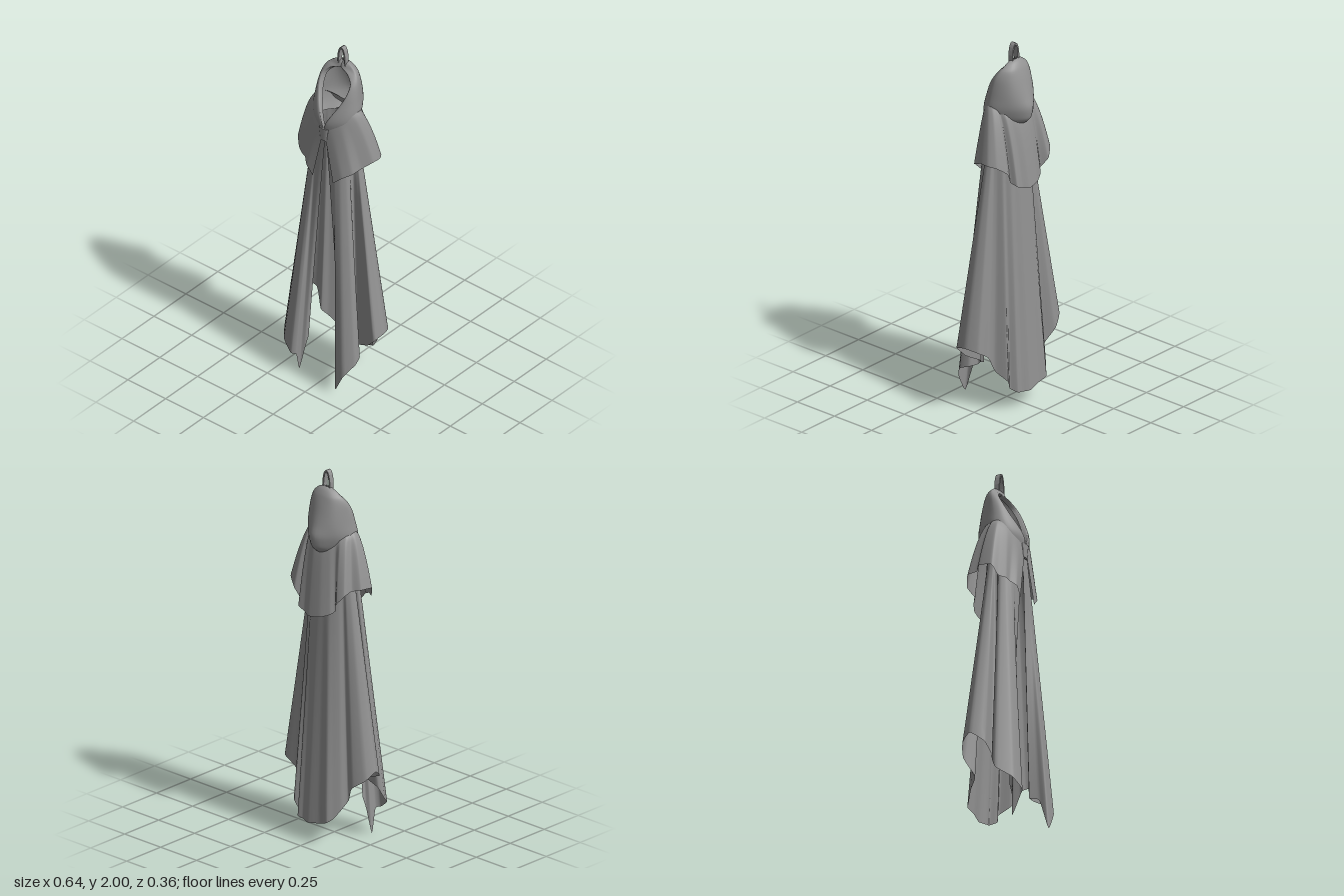
import * as THREE from 'three';

const cloth = new THREE.MeshStandardMaterial({ color: 0x929292, side: THREE.DoubleSide });
cloth.name = 'grey cloth';

const mix = THREE.MathUtils.lerp;
const vectors = (pts) => pts.map((p) => new THREE.Vector3(...p));

function mesh(name, geometry) {
  const m = new THREE.Mesh(geometry, cloth);
  m.name = name;
  return m;
}

// Smooth sheet from rows of points, top row first, each running front -> right -> back -> left -> front
function sheet(rows) {
  const n = rows[0].length;
  const index = [];
  for (let j = 0; j < rows.length - 1; j++) {
    for (let i = 0; i < n - 1; i++) {
      const a = j * n + i, c = a + n;
      index.push(a, a + 1, c, a + 1, c + 1, c);
    }
  }
  const g = new THREE.BufferGeometry();
  g.setAttribute('position', new THREE.Float32BufferAttribute(rows.flat().flatMap((p) => [p.x, p.y, p.z]), 3));
  g.setIndex(index);
  g.computeVertexNormals();
  return g;
}

// Cloth hanging from an oval collar down to a folded, fairly angular hem
function drape(hem, collar, spread, rowCount, columns) {
  const line = new THREE.CatmullRomCurve3(vectors(hem), false, 'catmullrom', 0.25);
  const rows = [];
  for (let j = 0; j <= rowCount; j++) {
    const s = j / rowCount, row = [];
    for (let i = 0; i <= columns; i++) {
      const u = i / columns;
      const phi = 2 * Math.PI * (u + 0.03 * Math.sin(4 * Math.PI * u));
      const front = Math.max(0, Math.cos(phi)) ** 2;
      const top = collar(phi, front), end = line.getPoint(u);
      const w = s ** mix(spread, 0.95, front);
      row.push(new THREE.Vector3(mix(top.x, end.x, w), mix(top.y, end.y, s), mix(top.z, end.z, w)));
    }
    rows.push(row);
  }
  return sheet(rows);
}

// Hem points are x, y, z
const cloakHem = [
  [-0.12, 0.2, 0.08], [-0.128, 0.13, 0.1], [-0.152, 0.0, 0.115], [-0.136, 0.12, 0.158], [-0.157, 0.13, 0.177],
  [-0.22, 0.18, 0.155], [-0.27, 0.23, 0.085], [-0.25, 0.3, 0.052],
  [-0.18, 0.33, 0.045], [-0.2, 0.35, 0.02], [-0.285, 0.38, 0.03], [-0.32, 0.43, -0.035],
  [-0.3, 0.39, -0.09], [-0.235, 0.34, -0.122], [-0.18, 0.25, -0.085], [-0.16, 0.2, -0.12], [-0.13, 0.15, -0.15],
  [-0.105, 0.13, -0.173], [-0.05, 0.11, -0.165], [0.02, 0.1, -0.178], [0.07, 0.1, -0.157], [0.1, 0.11, -0.165],
  [0.125, 0.13, -0.13], [0.15, 0.18, -0.14], [0.18, 0.23, -0.08], [0.21, 0.31, -0.06], [0.285, 0.36, -0.063],
  [0.318, 0.38, 0.0], [0.305, 0.36, 0.07], [0.25, 0.3, 0.055], [0.165, 0.25, 0.03], [0.16, 0.22, 0.055],
  [0.21, 0.22, 0.07], [0.223, 0.2, 0.12], [0.18, 0.13, 0.167], [0.128, 0.03, 0.166], [0.115, 0.19, 0.12],
  [0.09, 0.2, 0.075],
];
const capeHem = [
  [-0.065, 1.25, 0.113], [-0.105, 1.3, 0.115], [-0.135, 1.32, 0.09], [-0.16, 1.33, 0.085], [-0.2, 1.335, 0.06],
  [-0.227, 1.39, 0.035], [-0.225, 1.4, -0.04], [-0.185, 1.39, -0.07], [-0.188, 1.38, -0.125], [-0.15, 1.33, -0.148],
  [-0.12, 1.28, -0.12], [-0.1, 1.26, -0.14], [-0.05, 1.24, -0.163], [0.02, 1.23, -0.172], [0.06, 1.24, -0.157],
  [0.1, 1.26, -0.16], [0.115, 1.28, -0.125], [0.15, 1.34, -0.138], [0.2, 1.38, -0.11], [0.225, 1.39, -0.07],
  [0.222, 1.39, -0.02], [0.185, 1.36, 0.03], [0.165, 1.34, 0.075], [0.12, 1.31, 0.105], [0.07, 1.265, 0.115],
];

// Hood levels: y, rim x, rim z, half width, z of widest point, z of back flank, z of back
const hoodLevels = [
  [1.914, 0, -0.05, 0.012, -0.055, -0.06, -0.064],
  [1.902, 0, -0.038, 0.05, -0.05, -0.072, -0.08],
  [1.882, 0, -0.03, 0.078, -0.045, -0.082, -0.094],
  [1.865, 0.05, -0.018, 0.096, -0.04, -0.087, -0.102],
  [1.83, 0.09, 0.002, 0.113, -0.03, -0.092, -0.115],
  [1.78, 0.092, 0.03, 0.122, -0.02, -0.1, -0.13],
  [1.72, 0.072, 0.06, 0.129, -0.01, -0.105, -0.148],
  [1.67, 0.046, 0.086, 0.135, -0.005, -0.1, -0.163],
  [1.63, 0.025, 0.102, 0.133, 0, -0.088, -0.159],
  [1.6, 0.012, 0.108, 0.125, 0, -0.078, -0.149],
  [1.565, 0.004, 0.106, 0.11, 0, -0.065, -0.11],
];

function hoodGeometry() {
  const rows = hoodLevels.map(([y, rx, rz, hw, sz, fz, bz]) => {
    // Half outline with the lip turned inward, then mirrored
    const half = [
      [rx * 0.86, y - 0.008, rz - 0.022], [rx, y, rz], [mix(rx, hw, 0.72), y, mix(rz, sz, 0.35)],
      [hw, y, sz], [hw * 0.66, y, fz],
    ];
    const right = half.map(([x, py, z]) => [-x, py, z]);
    const outline = vectors([...right, [0, y, bz], ...half.reverse()]);
    return new THREE.CatmullRomCurve3(outline, false, 'centripetal').getPoints(50);
  });
  // Smooth the levels vertically
  const columns = rows[0].map((_, i) => new THREE.CatmullRomCurve3(rows.map((r) => r[i])).getPoints(30));
  return sheet(columns[0].map((_, j) => columns.map((c) => c[j])));
}

function loopGeometry() {
  // Strap narrowing to a rounded top
  const outline = (target, w, top, bottom) => {
    target.moveTo(-w, bottom);
    target.lineTo(w, bottom);
    target.lineTo(w, top - 0.065);
    target.quadraticCurveTo(w * 0.75, top, 0, top);
    target.quadraticCurveTo(-w * 0.75, top, -w, top - 0.065);
    target.closePath();
    return target;
  };
  const shape = outline(new THREE.Shape(), 0.026, 2, 1.88);
  shape.holes.push(outline(new THREE.Path(), 0.017, 1.99, 1.89));
  return new THREE.ExtrudeGeometry(shape, { depth: 0.028, bevelEnabled: false, curveSegments: 5 }).translate(0, 0, -0.061);
}

export function createModel() {
  const group = new THREE.Group();
  group.name = 'hooded cloak';

  group.add(mesh('cloak', drape(cloakHem, (phi) => new THREE.Vector3(
    -0.122 * Math.sin(phi), 1.57 - 0.03 * Math.max(0, Math.cos(phi)), 0.088 * Math.cos(phi)), 1, 16, 148)));

  // Collar edge tucked under the hood
  group.add(mesh('shoulderCape', drape(capeHem, (phi, front) => new THREE.Vector3(
    -0.12 * Math.sin(phi), 1.69 - 0.13 * front - 0.06 * Math.max(0, -Math.cos(phi)) ** 2,
    0.005 + 0.098 * Math.cos(phi)), 0.55, 14, 120)));

  group.add(mesh('hood', hoodGeometry()));
  group.add(mesh('hangingLoop', loopGeometry()));

  // Flattened knot closing the collar
  const knot = mesh('collarKnot', new THREE.CylinderGeometry(0.03, 0.021, 0.075, 10));
  knot.scale.z = 0.35;
  knot.position.set(0, 1.535, 0.103);
  group.add(knot);

  return group;
}
